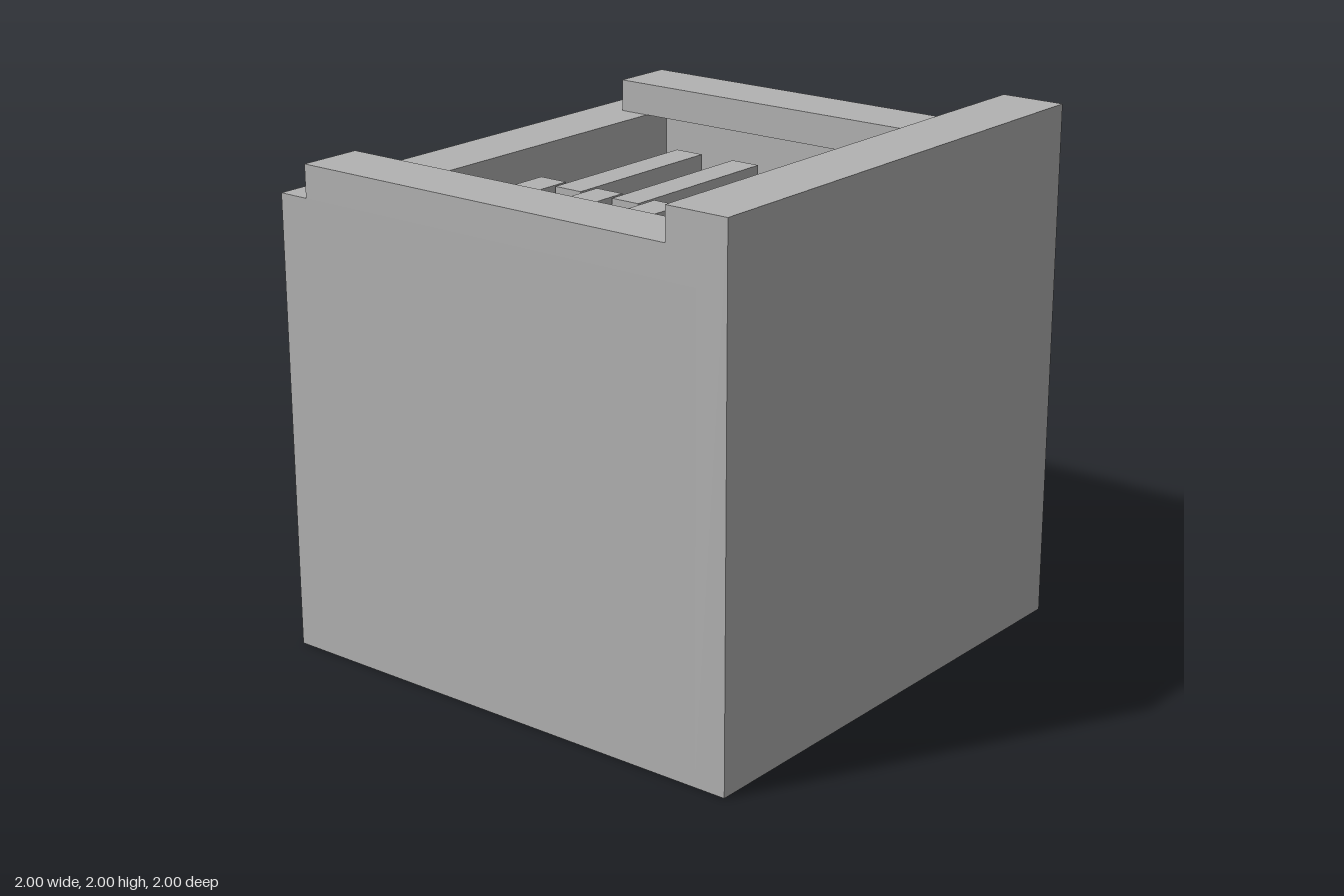
import * as THREE from 'three';

export function createModel() {
  const model = new THREE.Group();
  const grey = new THREE.MeshStandardMaterial({ color: 0xb2b2b2 });
  grey.name = 'plain grey';

  const add = (name, geometry, parent = model) => {
    const mesh = new THREE.Mesh(geometry, grey);
    mesh.name = name;
    parent.add(mesh);
    return mesh;
  };
  // Box given by its limits along each axis
  const box = (name, [x0, x1], [y0, y1], [z0, z1], parent) =>
    add(name, new THREE.BoxGeometry(x1 - x0, y1 - y0, z1 - z0), parent)
      .position.set((x0 + x1) / 2, (y0 + y1) / 2, (z0 + z1) / 2);

  const floorY = 0.75, rimY = 1.75;

  // Casing: solid base, front wall with a recessed inner face
  box('base', [-0.875, 0.875], [0, floorY], [-0.75, 0.875]);
  box('frontWall', [-1, 1], [0, 2], [0.875, 1]);
  box('frontLip', [-1, 1], [rimY, 2], [0.75, 0.875]);

  // Side walls, rails overhanging the cavity, and front corner posts
  for (const [side, s] of [['left', 1], ['right', -1]]) {
    const span = (a, b) => (s > 0 ? [a, b] : [-b, -a]);
    box(side + 'Wall', span(0.875, 1), [0, rimY], [-0.75, 0.875]);
    box(side + 'Rail', span(0.75, 1), [rimY, 1.875], [-0.875, 0.75]);
    box(side + 'FrontPost', span(0.75, 0.875), [floorY, rimY], [0.75, 0.875]);
  }

  // Back wall: pierced outer panel over a solid inner panel
  const rect = (Type, x, y0, y1) => new Type([[-x, y0], [x, y0], [x, y1], [-x, y1]]
    .map(([px, py]) => new THREE.Vector2(px, py)));
  const panel = rect(THREE.Shape, 1, 0, rimY);
  panel.holes.push(rect(THREE.Path, 0.75, 1.5, 1.625), rect(THREE.Path, 0.75, 0.75, 1.375));
  add('backOuterPanel', new THREE.ExtrudeGeometry(panel, { depth: 0.0625, bevelEnabled: false }))
    .position.z = -1;
  box('backInnerPanel', [-1, 1], [0, rimY], [-0.9375, -0.75]);
  box('backWindow', [-0.75, 0.75], [0.75, 1.375], [-0.969, -0.9375]);

  // Two square shafts carrying interleaved square blades
  const axleY = 1.285, half = 0.365;
  for (const [side, x, firstZ] of [['left', 0.327, -0.486], ['right', -0.327, -0.623]]) {
    const rotor = new THREE.Group();
    rotor.name = side + 'Rotor';
    model.add(rotor);
    box('shaft', [x - 0.09, x + 0.09], [axleY - 0.09, axleY + 0.09], [-0.75, 0.875], rotor);
    for (let i = 0; i < 5; i++) {
      const z = firstZ + i * 0.275;
      box('blade', [x - half, x + half], [axleY - half, axleY + half], [z - 0.062, z + 0.062], rotor);
    }
  }
  return model;
}
